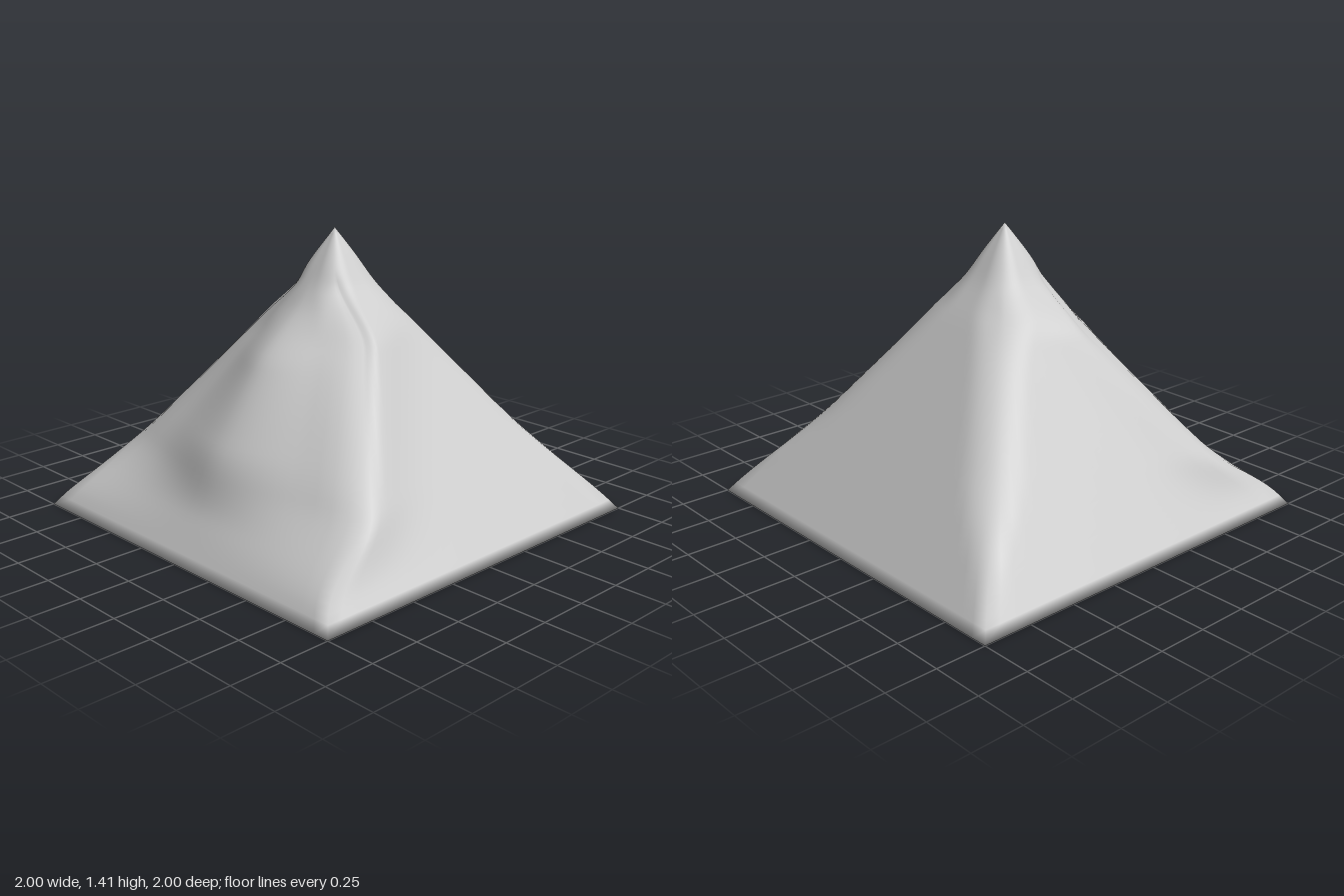
import * as THREE from 'three';
import { mergeVertices } from 'three/addons/utils/BufferGeometryUtils.js';

const HEIGHT = 1.41;
const SIDES = 96; // points per ring, a multiple of 8 so corners are hit
const clamp = THREE.MathUtils.clamp;
const smooth = THREE.MathUtils.smoothstep;
const bell = (d, w) => Math.exp(-((d / w) ** 2));

// Point on the unit square's outline, running from +x towards +z
function squarePoint(i) {
  const t = ((i / SIDES) * 4 + 0.5) % 4;
  const side = Math.floor(t), k = (t - side) * 2 - 1;
  return [[1, k], [-k, 1], [-1, -k], [k, -1]][side];
}

// Swelling of the front face: a prow that widens downwards
function frontSwell(x, y) {
  const amount = 0.075 * smooth(y, 0.18, 0.5) * (1 - smooth(y, 0.82, 1.08));
  return amount * bell(x, 0.18 + 0.45 * Math.max(0, 0.95 - y));
}

// Swelling of both side faces: a ridge running down beside the front edges
function sideSwell(z, y) {
  const amount = 0.06 * smooth(y, 0.08, 0.36) * (1 - smooth(y, 0.92, 1.16));
  return amount * bell(z - 0.1 - 0.74 * (1 - y), 0.26);
}

// How far the front edges are set back, fading out at the foot and the tip
function edgeSetback(a, b, y) {
  const amount = 0.14 * smooth(y, 0.06, 0.36) * (1 - smooth(y, 0.9, 1.25));
  return amount * smooth(b, 0, 1) * Math.abs(a) ** 1.6;
}

// Rounded square cross-section at height y, with the swellings added
function slopePoint(i, y) {
  const half = Math.max(0, 1 - y / HEIGHT - 0.01 * bell(y - 1.15, 0.1));
  const [a, b] = squarePoint(i);
  if (half < 1e-4) return [0, y, 0];
  const r = Math.min(half * 0.75, 0.002 + (b < 0 ? 0.19 : 0.13) * smooth(y, 0, 0.5));
  const core = half - r;
  const cx = clamp(a * half, -core, core), cz = clamp(b * half, -core, core);
  const dx = a * half - cx, dz = b * half - cz, len = Math.hypot(dx, dz);
  const x = cx + (dx / len) * r;
  const z = cz + (dz / len) * r - edgeSetback(a, b, y);
  const pushX = Math.sign(x) * smooth(Math.abs(a), 0.6, 1) * sideSwell(z, y);
  const pushZ = smooth(b, 0.6, 1) * frontSwell(x, y);
  return [x + pushX, y, z + pushZ];
}

export function createModel() {
  const group = new THREE.Group();
  group.name = 'pyramid';

  // Rings from the centre of the underside, round the rim, up to the tip
  const rings = [];
  for (const s of [0, 0.45, 0.9]) {
    rings.push((i) => {
      const [a, b] = squarePoint(i);
      const ragged = s > 0.5 ? 0.025 * Math.sin(i * 2.3) + 0.015 * Math.sin(i * 0.9) : 0;
      return [a * (s + ragged), 0, b * (s + ragged)];
    });
  }
  rings.push((i) => slopePoint(i, 0));
  const levels = 48, firstLevel = 0.045;
  for (let j = 0; j <= levels; j++) {
    const y = firstLevel + (HEIGHT - firstLevel) * (j / levels);
    rings.push((i) => slopePoint(i, y));
  }

  const positions = [], index = [];
  rings.forEach((ring, j) => {
    for (let i = 0; i < SIDES; i++) {
      positions.push(...ring(i));
      if (j === 0) continue;
      const n = (i + 1) % SIDES, low = (j - 1) * SIDES, up = j * SIDES;
      index.push(low + i, up + i, low + n, low + n, up + i, up + n);
    }
  });

  let geometry = new THREE.BufferGeometry();
  geometry.setAttribute('position', new THREE.Float32BufferAttribute(positions, 3));
  geometry.setIndex(index);
  geometry = mergeVertices(geometry, 1e-5);
  geometry.computeVertexNormals();

  const body = new THREE.Mesh(geometry, new THREE.MeshStandardMaterial({ color: 0xcccccc }));
  body.name = 'weatheredPyramid';
  group.add(body);
  return group;
}
